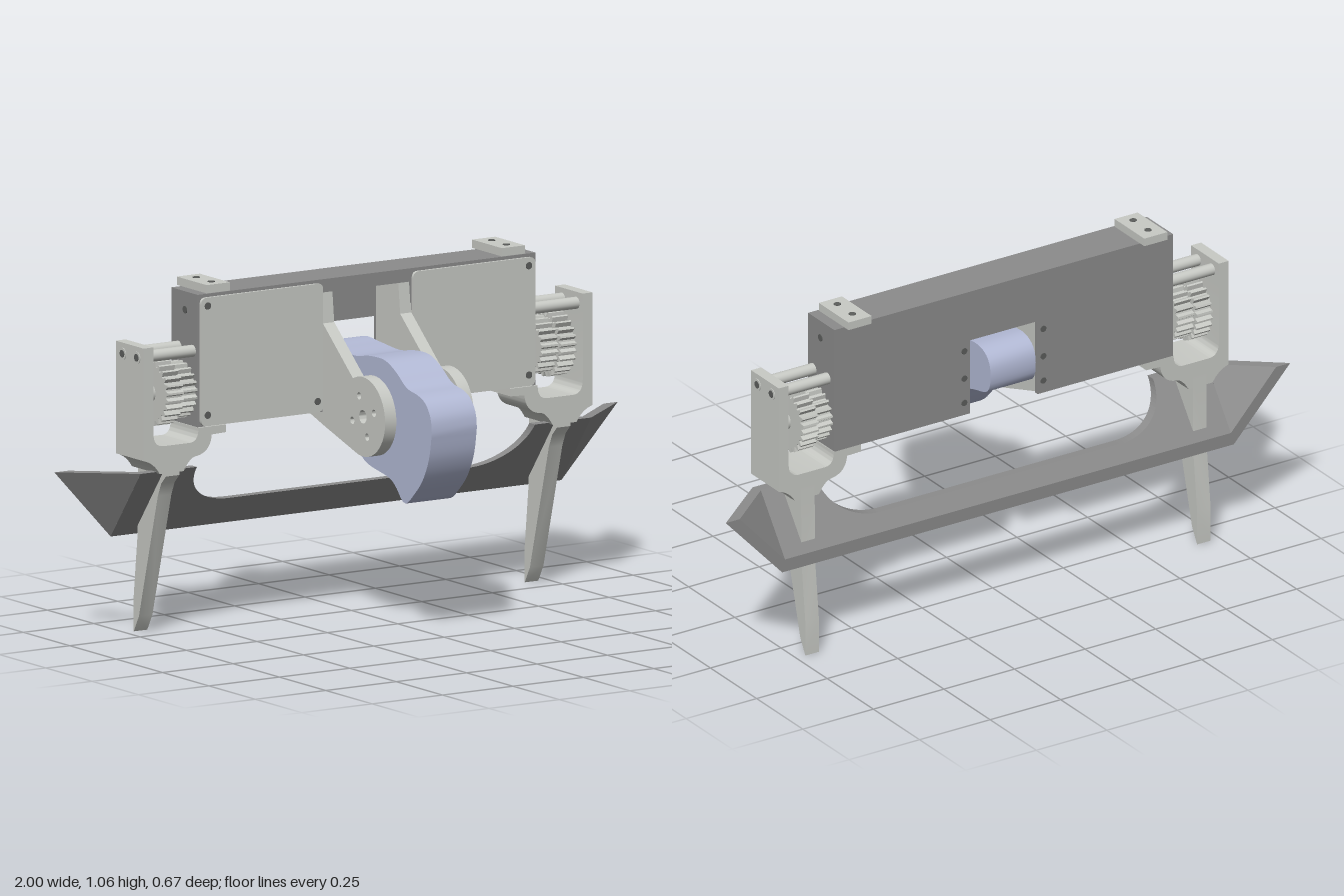
import * as THREE from 'three';
import { toCreasedNormals } from 'three/addons/utils/BufferGeometryUtils.js';

export function createModel() {
  const model = new THREE.Group();
  const material = (name, color) => {
    const m = new THREE.MeshStandardMaterial({ color });
    m.name = name;
    return m;
  };
  const light = material('light grey', 0xc8cac5);
  const dark = material('dark grey', 0x8c8c8c);
  const blue = material('pale blue', 0xb3bad6);
  const hole = material('screw grey', 0x5c5e5c);

  const add = (name, geo, mat) => {
    const mesh = new THREE.Mesh(geo, mat);
    mesh.name = name;
    model.add(mesh);
  };
  // Mirror a geometry across x = 0 and restore its winding
  const mirrored = (geo) => {
    const g = geo.index ? geo.toNonIndexed() : geo.clone();
    g.scale(-1, 1, 1);
    for (const a of Object.values(g.attributes)) {
      const n = a.itemSize;
      for (let i = 0; i < a.count; i += 3) {
        for (let k = 0; k < n; k++) {
          const p = (i + 1) * n + k, q = (i + 2) * n + k;
          [a.array[p], a.array[q]] = [a.array[q], a.array[p]];
        }
      }
    }
    return g;
  };
  const pair = (name, geo, mat) => {
    add(name + 'Left', geo, mat);
    add(name + 'Right', mirrored(geo), mat);
  };
  const box = (x0, x1, y0, y1, z0, z1) =>
    new THREE.BoxGeometry(x1 - x0, y1 - y0, z1 - z0)
      .translate((x0 + x1) / 2, (y0 + y1) / 2, (z0 + z1) / 2);
  const rodX = (x0, x1, y, z, r) =>
    new THREE.CylinderGeometry(r, r, x1 - x0, 28).rotateZ(Math.PI / 2).translate((x0 + x1) / 2, y, z);
  const rodZ = (x, y, z0, z1, r) =>
    new THREE.CylinderGeometry(r, r, z1 - z0, 14).rotateX(Math.PI / 2).translate(x, y, (z0 + z1) / 2);
  const poly = (pts) => new THREE.Shape(pts.map(([a, b]) => new THREE.Vector2(a, b)));
  const circle = (x, y, r) => new THREE.Path().absarc(x, y, r, 0, Math.PI * 2, true);
  const extrude = (shape, depth) =>
    new THREE.ExtrudeGeometry(shape, { depth, bevelEnabled: false, curveSegments: 20 });
  // Profile drawn as (z, y), extruded between two x values
  const sideways = (shape, x0, x1) =>
    toCreasedNormals(extrude(shape, x1 - x0).rotateY(-Math.PI / 2).translate(x1, 0, 0), 0.6);

  // Housing with an open notch in the middle
  pair('housing', box(0.155, 0.6, 0.63, 1.03, -0.31, -0.168), dark);
  pair('housingBackStrip', box(0.12, 0.155, 0.63, 0.99, -0.31, -0.295), dark);
  add('housingBackPlate', box(-0.12, 0.12, 0.87, 0.99, -0.31, -0.295), dark);
  add('housingTop', box(-0.155, 0.155, 0.99, 1.03, -0.31, -0.168), dark);

  // Front cover panels with rounded corners
  const panel = new THREE.Shape();
  const [l, r, b, t, c] = [0.16, 0.593, 0.632, 1.02, 0.02];
  panel.moveTo(l + c, b).lineTo(r - c, b).quadraticCurveTo(r, b, r, b + c)
    .lineTo(r, t - c).quadraticCurveTo(r, t, r - c, t)
    .lineTo(l + c, t).quadraticCurveTo(l, t, l, t - c)
    .lineTo(l, b + c).quadraticCurveTo(l, b, l + c, b);
  pair('frontPanel', extrude(panel, 0.009).translate(0, 0, -0.168), light);
  for (const [x, y] of [[0.57, 0.995], [0.57, 0.665], [0.18, 0.665]]) {
    pair('panelScrew', rodZ(x, y, -0.165, -0.157, 0.011), hole);
  }
  for (const y of [0.67, 0.75, 0.84]) pair('backScrew', rodZ(0.14, y, -0.312, -0.305, 0.01), hole);
  pair('sideScrew', rodX(0.595, 0.602, 0.975, -0.235, 0.011), hole);

  // Mounting pads on top
  pair('topPad', box(0.483, 0.565, 1.03, 1.055, -0.333, -0.172), light);
  for (const z of [-0.29, -0.21]) {
    pair('padScrew', new THREE.CylinderGeometry(0.011, 0.011, 0.006, 14).translate(0.524, 1.054, z), hole);
  }

  // Arms that carry the lobed rotor
  const arm = new THREE.Shape();
  arm.moveTo(-0.295, 0.635).lineTo(-0.16, 0.59).lineTo(0.02, 0.534)
    .absarc(0.05, 0.65, 0.12, -1.83, 2.03, false);
  arm.lineTo(-0.165, 0.897).lineTo(-0.175, 0.99).lineTo(-0.295, 0.99);
  arm.holes.push(circle(0.05, 0.65, 0.02));
  for (const [z, y] of [[0.03, 0.71], [0.11, 0.67], [0.073, 0.592], [-0.007, 0.63]]) {
    arm.holes.push(circle(z, y, 0.011));
  }
  pair('arm', sideways(arm, 0.117, 0.157), light);

  // Lobed rotor
  const outline = [
    [0.335, 0.64], [0.328, 0.685], [0.3, 0.724], [0.26, 0.742], [0.2, 0.755], [0.14, 0.795],
    [0.08, 0.82], [0, 0.82], [-0.08, 0.808], [-0.18, 0.815], [-0.27, 0.82], [-0.32, 0.79],
    [-0.33, 0.73], [-0.31, 0.685], [-0.24, 0.665], [-0.17, 0.64], [-0.12, 0.59], [-0.095, 0.56],
    [-0.05, 0.515], [0, 0.49], [0.1, 0.47], [0.14, 0.448], [0.175, 0.411], [0.2, 0.407],
    [0.235, 0.435], [0.285, 0.488], [0.32, 0.56],
  ].map(([z, y]) => new THREE.Vector2(z, y));
  const rotor = new THREE.Shape();
  rotor.moveTo(outline[0].x, outline[0].y).splineThru([...outline.slice(1), outline[0]]);
  add('rotor', sideways(new THREE.Shape(rotor.getSpacedPoints(110)), -0.1, 0.06), blue);

  // Rotor hub
  add('hubFlange', rodX(0.06, 0.071, 0.65, 0.05, 0.11), light);
  add('hubShaft', rodX(0.07, 0.1, 0.65, 0.05, 0.045), light);
  add('hubDisc', rodX(0.095, 0.118, 0.65, 0.05, 0.08), light);
  add('hubSpacer', rodX(-0.119, -0.099, 0.65, 0.05, 0.05), light);

  // Side brackets
  const bracket = new THREE.Shape();
  bracket.moveTo(0.797, 0.89).lineTo(0.762, 0.89).lineTo(0.762, 0.63)
    .quadraticCurveTo(0.762, 0.588, 0.725, 0.588).lineTo(0.635, 0.588)
    .quadraticCurveTo(0.602, 0.588, 0.602, 0.63).lineTo(0.505, 0.63).lineTo(0.505, 0.607)
    .lineTo(0.555, 0.605).quadraticCurveTo(0.56, 0.55, 0.615, 0.545)
    .quadraticCurveTo(0.635, 0.54, 0.655, 0.505).lineTo(0.74, 0.505)
    .quadraticCurveTo(0.76, 0.54, 0.797, 0.55);
  pair('sideBracket', toCreasedNormals(extrude(bracket, 0.15).translate(0, 0, -0.31), 0.6), light);
  for (const z of [-0.195, -0.272]) {
    pair('bracketRod', rodX(0.595, 0.799, 0.857, z, 0.018), light);
    pair('rodBolt', rodX(0.79, 0.801, 0.857, z, 0.011), hole);
  }

  // Gears beside the housing
  const gear = (radius, teeth) => {
    const pts = [];
    for (let i = 0; i < teeth; i++) {
      [[0, 0.86], [0.25, 1], [0.5, 1], [0.75, 0.86]].forEach(([f, k]) => {
        const a = ((i + f) / teeth) * Math.PI * 2;
        pts.push([-0.235 + Math.cos(a) * radius * k, 0.738 + Math.sin(a) * radius * k]);
      });
    }
    return poly(pts);
  };
  pair('outerGear', sideways(gear(0.1, 26), 0.67, 0.725), light);
  pair('innerGear', sideways(gear(0.086, 22), 0.612, 0.672), light);
  pair('gearAxle', rodX(0.595, 0.77, 0.738, -0.235, 0.03), light);

  // Legs
  const leg = poly([
    [-0.16, 0.54], [-0.16, 0.495], [-0.185, 0.47], [-0.203, 0.43], [-0.305, 0.05], [-0.333, 0],
    [-0.333, 0.11], [-0.312, 0.3], [-0.31, 0.54],
  ]);
  pair('leg', sideways(leg, 0.67, 0.718), light);

  // Sloping skid: a cut-out plate leaned back towards its foot
  const skid = new THREE.Shape();
  skid.moveTo(-0.8, 0.295).lineTo(0.8, 0.295).lineTo(0.8, 0.51).lineTo(0.6, 0.51)
    .bezierCurveTo(0.6, 0.44, 0.53, 0.382, 0.42, 0.382).lineTo(-0.42, 0.382)
    .bezierCurveTo(-0.53, 0.382, -0.6, 0.44, -0.6, 0.51).lineTo(-0.8, 0.51);
  const skidGeo = extrude(skid, 1);
  const p = skidGeo.attributes.position;
  for (let i = 0; i < p.count; i++) {
    const y = p.getY(i), back = p.getZ(i) < 0.5, foot = y < 0.3;
    const z = -0.333 + (y - 0.295) * 0.75;
    p.setXYZ(i, p.getX(i), back && foot ? y + 0.04 : y, back && !foot ? z - 0.03 : z);
  }
  skidGeo.computeVertexNormals();
  add('skid', skidGeo, dark);

  // Pointed skid ends: thin triangular plates
  const outer = [[1, 0.51, -0.333], [0.8, 0.51, -0.172], [0.8, 0.295, -0.333]];
  const inner = [[0.95, 0.51, -0.333], [0.79, 0.51, -0.202], [0.79, 0.335, -0.333]];
  const tris = [[outer[0], outer[1], outer[2]], [inner[0], inner[2], inner[1]]];
  for (let i = 0; i < 3; i++) {
    const j = (i + 1) % 3;
    tris.push([outer[i], inner[i], outer[j]], [outer[j], inner[i], inner[j]]);
  }
  const end = new THREE.BufferGeometry();
  end.setAttribute('position', new THREE.Float32BufferAttribute(tris.flat(2), 3));
  end.computeVertexNormals();
  pair('skidEnd', end, dark);

  return model;
}
